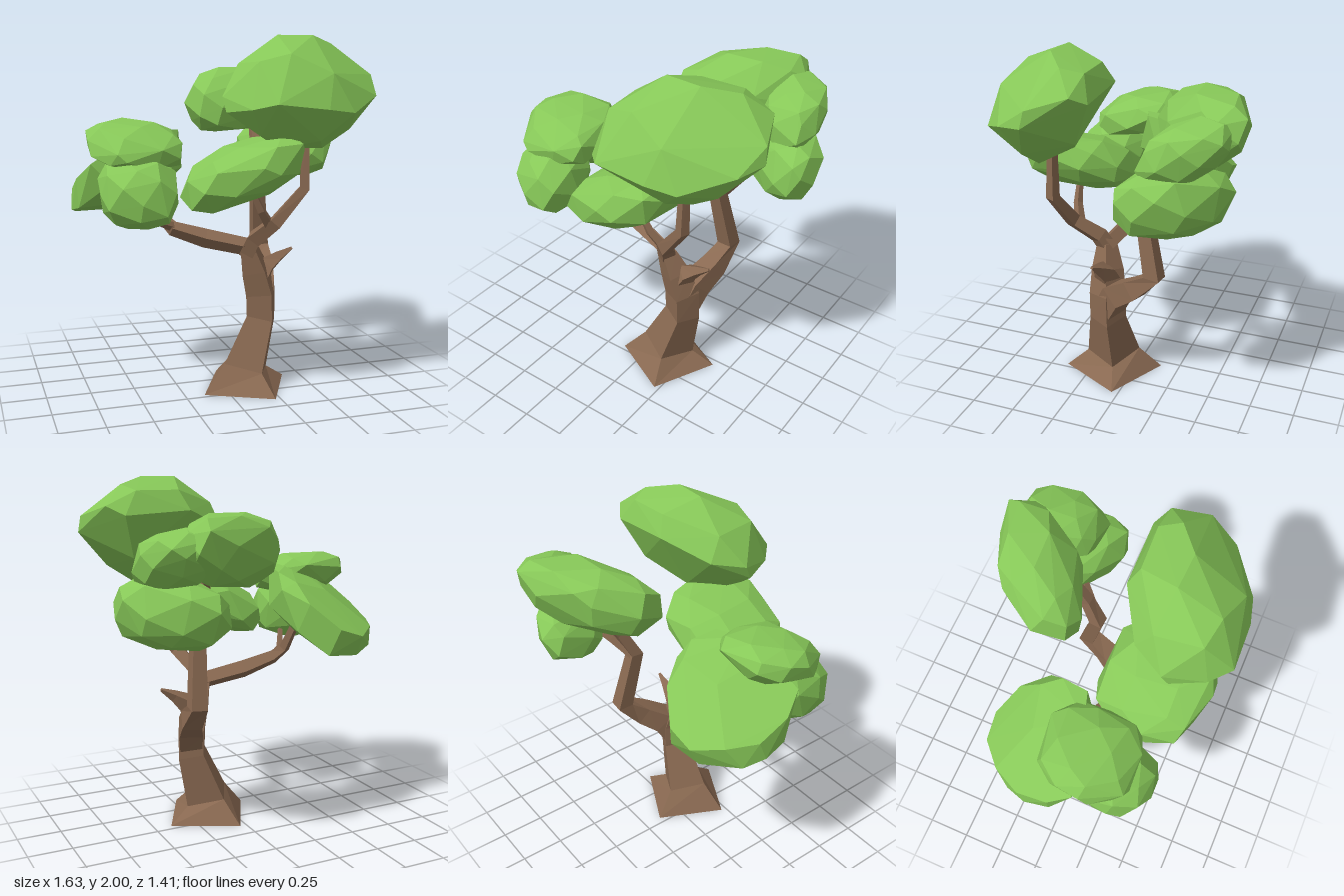
import * as THREE from 'three';
import { ConvexGeometry } from 'three/addons/geometries/ConvexGeometry.js';

const bark = new THREE.MeshStandardMaterial({ color: 0x896951 });
bark.name = 'bark brown';
const leaf = new THREE.MeshStandardMaterial({ color: 0x87c858 });
leaf.name = 'leaf green';

// Four-sided limb lofted through rings of [x, y, z, radius], capped at both ends
function limb(name, rings) {
  const centres = rings.map(([x, y, z]) => new THREE.Vector3(x, y, z));
  const last = rings.length - 1;
  const u = new THREE.Vector3(0.09, 0, 0.27);
  const loops = rings.map((ring, i) => {
    const t = centres[Math.min(i + 1, last)].clone().sub(centres[Math.max(i - 1, 0)]).normalize();
    if (ring[1] === 0) t.set(0, 1, 0); // the foot sits flat on the ground
    u.addScaledVector(t, -u.dot(t)).normalize();
    const v = t.clone().cross(u);
    return [0, 1, 2, 3].map((k) => centres[i].clone()
      .addScaledVector(u, ring[3] * Math.cos(k * Math.PI / 2))
      .addScaledVector(v, ring[3] * Math.sin(k * Math.PI / 2)));
  });
  const pts = [];
  const quad = (a, b, c, d) => pts.push(a, b, c, a, c, d);
  for (let i = 0; i < last; i++) {
    for (let k = 0; k < 4; k++) {
      const n = (k + 1) % 4;
      quad(loops[i][k], loops[i][n], loops[i + 1][n], loops[i + 1][k]);
    }
  }
  quad(...loops[last]);
  quad(...[...loops[0]].reverse());
  const geo = new THREE.BufferGeometry().setFromPoints(pts);
  geo.computeVertexNormals();
  const mesh = new THREE.Mesh(geo, bark);
  mesh.name = name;
  return mesh;
}

// Faceted leaf mass wrapped around a few corner points
function hull(name, pts) {
  const mesh = new THREE.Mesh(new ConvexGeometry(pts), leaf);
  mesh.name = name;
  return mesh;
}
const corners = (list) => list.map((p) => new THREE.Vector3(...p));

// Rounded leaf clump filling the box min..max; xy, xz, yz lean it between axes
function clump(name, min, max, [xy, xz, yz], seed) {
  let s = seed;
  const rand = () => (s = (s * 16807) % 2147483647) / 2147483647;
  for (let i = 0; i < 5; i++) rand();
  const b = Math.sqrt(1 - xy * xy);
  const c = (yz - xy * xz) / b;
  const d = Math.sqrt(Math.max(0.05, 1 - xz * xz - c * c));
  const full = (n) => Math.sign(n) * Math.abs(n) ** 0.82; // fuller than an ellipsoid
  const count = 34;
  const pts = [];
  for (let i = 0; i < count; i++) {
    const h = 1 - 2 * (i + 0.5) / count;
    const a = i * 2.39996 + seed + rand() * 0.45;
    const q = Math.sqrt(1 - h * h);
    const r = 0.94 + 0.06 * rand();
    const [p0, p1, p2] = [q * Math.cos(a), h, q * Math.sin(a)].map((n) => full(n) * r);
    pts.push(new THREE.Vector3(p0, xy * p0 + b * p1, xz * p0 + c * p1 + d * p2));
  }
  // Fit the points to the box
  const box = new THREE.Box3().setFromPoints(pts);
  const size = box.getSize(new THREE.Vector3());
  const lo = new THREE.Vector3(...min);
  const span = new THREE.Vector3(...max).sub(lo);
  pts.forEach((p) => p.sub(box.min).divide(size).multiply(span).add(lo));
  return hull(name, pts);
}

export function createModel() {
  const tree = new THREE.Group();
  tree.name = 'tree';

  // Trunk and branches
  const wood = new THREE.Group();
  wood.name = 'wood';
  wood.add(
    limb('trunk', [[0.13, 0, 0.13, 0.285], [0.135, 0.12, 0.13, 0.155], [0.228, 0.4, 0.125, 0.104],
      [0.225, 0.55, 0.127, 0.104], [0.185, 0.69, 0.14, 0.092], [0.14, 0.82, 0.16, 0.06]]),
    limb('brokenStub', [[0.19, 0.6, 0.13, 0.08], [0.26, 0.71, 0.13, 0.062], [0.33, 0.755, 0.135, 0.035],
      [0.41, 0.8, 0.14, 0.01]]),
    limb('backBranch', [[0.235, 0.45, 0.12, 0.09], [0.265, 0.58, 0.05, 0.095], [0.31, 0.66, -0.07, 0.08],
      [0.33, 0.765, -0.195, 0.065], [0.29, 1.13, -0.12, 0.052], [0.32, 1.28, -0.2, 0.042],
      [0.34, 1.5, -0.35, 0.03]]),
    limb('backTwig', [[0.29, 1.11, -0.13, 0.035], [0.38, 1.22, -0.22, 0.03], [0.48, 1.32, -0.32, 0.02]]),
    limb('leftBranch', [[0.16, 0.82, 0.16, 0.05], [-0.1, 0.88, 0.1, 0.054], [-0.28, 0.94, 0.07, 0.042],
      [-0.33, 1.0, 0.02, 0.032], [-0.36, 1.16, -0.06, 0.025]]),
    limb('leftTwig', [[-0.28, 0.95, 0.07, 0.028], [-0.36, 0.985, 0.13, 0.02], [-0.43, 1.09, 0.25, 0.014]]),
    limb('frontBranch', [[0.13, 0.78, 0.15, 0.055], [0.16, 0.88, 0.2, 0.055], [0.24, 0.99, 0.32, 0.046],
      [0.385, 1.18, 0.37, 0.038], [0.39, 1.5, 0.36, 0.028]]),
    limb('frontTwig', [[0.22, 0.96, 0.29, 0.034], [0.15, 1.06, 0.33, 0.026], [0.09, 1.18, 0.34, 0.018]]),
  );

  // Leaf masses: the two largest are wrapped on corner points
  const leaves = new THREE.Group();
  leaves.name = 'leaves';
  leaves.add(
    hull('crownClump', corners([
      [0.24, 2, 0.31], [0.44, 2, 0.32], [0.6, 1.96, 0.2], [0.3, 1.93, 0.1], [0.55, 1.93, 0.09],
      [0.8, 1.79, 0.3], [0.81, 1.7, 0.32], [0.72, 1.85, 0.1], [0.63, 1.8, 0.04], [0.25, 1.82, 0.05],
      [0, 1.72, 0.2], [0.03, 1.85, 0.28], [-0.09, 1.68, 0.38], [-0.08, 1.6, 0.42], [0, 1.62, 0.6],
      [0.06, 1.86, 0.53], [0.22, 1.9, 0.56], [0.1, 1.65, 0.7], [0.38, 1.62, 0.69], [0.43, 1.8, 0.62],
      [0.54, 1.6, 0.65], [0.75, 1.68, 0.47], [0.62, 1.5, 0.42], [0.47, 1.4, 0.4], [0.2, 1.41, 0.43],
      [0.08, 1.48, 0.5], [0.3, 1.45, 0.27], [0.55, 1.56, 0.15], [0.4, 1.45, 0.54]])),
    hull('leftBackClump', corners([
      [-0.22, 1.47, -0.1], [-0.24, 1.49, 0.05], [-0.3, 1.31, -0.32], [-0.45, 1.17, -0.41],
      [-0.28, 1.42, -0.2], [-0.4, 1.5, 0.1], [-0.6, 1.12, -0.4], [-0.73, 1.15, -0.28],
      [-0.81, 1.16, -0.12], [-0.81, 1.24, 0.06], [-0.75, 1.33, 0.18], [-0.5, 1.36, -0.15],
      [-0.55, 1.45, 0.15], [-0.2, 1.38, -0.18], [-0.2, 1.27, -0.03], [-0.26, 1.15, -0.26],
      [-0.3, 1.27, 0.12], [-0.4, 1.02, -0.37], [-0.6, 1, -0.34], [-0.78, 1.02, -0.2],
      [-0.82, 1.05, -0.08], [-0.8, 1.08, 0.06], [-0.55, 1.09, 0], [-0.65, 1.22, 0.2],
      [-0.35, 1.12, -0.05]])),
    clump('frontClump', [-0.28, 1.08, 0.03], [0.34, 1.48, 0.65], [0.55, 0.05, 0.15], 8),
    clump('backTopClump', [-0.1, 1.44, -0.71], [0.55, 1.83, -0.12], [0.15, -0.5, -0.32], 15),
    clump('backSideClump', [0.36, 1.44, -0.65], [0.74, 1.77, -0.22], [-0.1, 0.2, -0.4], 21),
    clump('backLowClump', [0.3, 1.15, -0.65], [0.8, 1.51, -0.11], [0.1, 0.45, 0], 27),
    clump('leftTopClump', [-0.77, 1.3, -0.07], [-0.26, 1.56, 0.44], [-0.1, 0.05, -0.35], 42),
    clump('leftFrontClump', [-0.73, 1, 0.1], [-0.32, 1.38, 0.55], [0, 0.1, -0.15], 50),
  );

  tree.add(wood, leaves);
  return tree;
}
